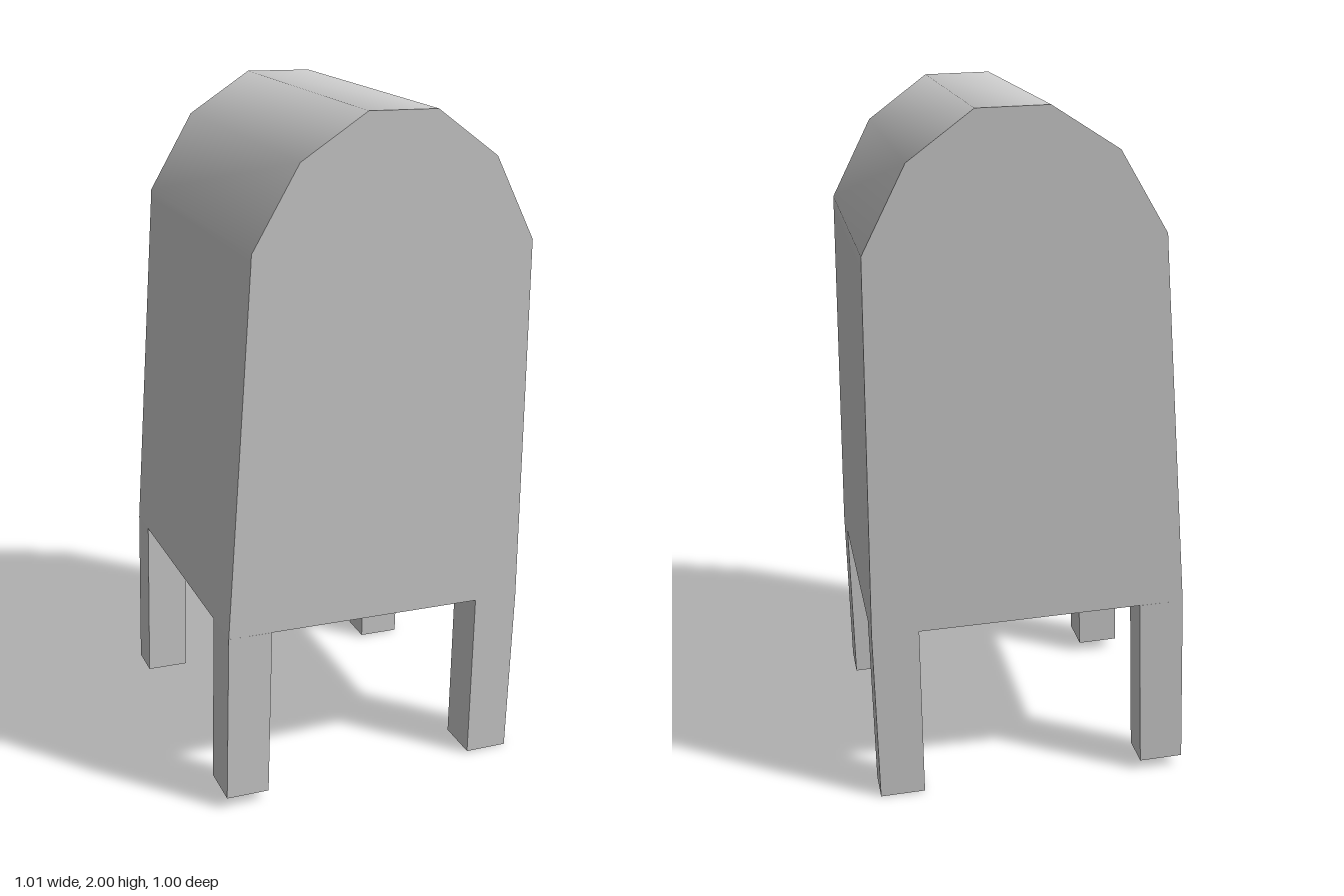
import * as THREE from 'three';
import { toCreasedNormals } from 'three/addons/utils/BufferGeometryUtils.js';

const HALF_DEPTH = 0.46;

export function createModel() {
  const model = new THREE.Group();
  model.name = 'mailbox';
  const material = new THREE.MeshStandardMaterial({ color: 0xcccccc });

  // Extrudes an outline along z between two depths
  function addPart(name, points, zBack, zFront, crease) {
    const shape = new THREE.Shape(points.map(([x, y]) => new THREE.Vector2(x, y)));
    const geometry = new THREE.ExtrudeGeometry(shape, { depth: zFront - zBack, bevelEnabled: false });
    geometry.translate(0, 0, zBack);
    const mesh = new THREE.Mesh(crease ? toCreasedNormals(geometry, crease) : geometry, material);
    mesh.name = name;
    model.add(mesh);
  }

  // Leaning, tapered body with a rounded top; the extra points keep the walls flat-shaded
  addPart('body', [
    [-0.454, 0.556], [0.463, 0.523],
    [0.46, 1.59], [0.46, 1.62],
    [0.339, 1.86], [0.158, 1.995], [-0.043, 2.0], [-0.233, 1.88],
    [-0.369, 1.652], [-0.371, 1.622],
  ], -HALF_DEPTH, HALF_DEPTH, THREE.MathUtils.degToRad(45));

  // Four legs, front pair slightly deeper than the back pair
  const legOutlines = {
    right: [[-0.47, 0.036], [-0.341, 0.031], [-0.324, 0.551], [-0.454, 0.556]],
    left: [[0.319, 0.005], [0.4495, 0], [0.463, 0.523], [0.327, 0.528]],
  };
  for (const [side, outline] of Object.entries(legOutlines)) {
    addPart(`${side}FrontLeg`, outline, HALF_DEPTH - 0.133, HALF_DEPTH);
    addPart(`${side}BackLeg`, outline, -HALF_DEPTH, -HALF_DEPTH + 0.108);
  }

  // The whole box stands slightly turned
  model.rotation.y = THREE.MathUtils.degToRad(5.29);
  return model;
}
